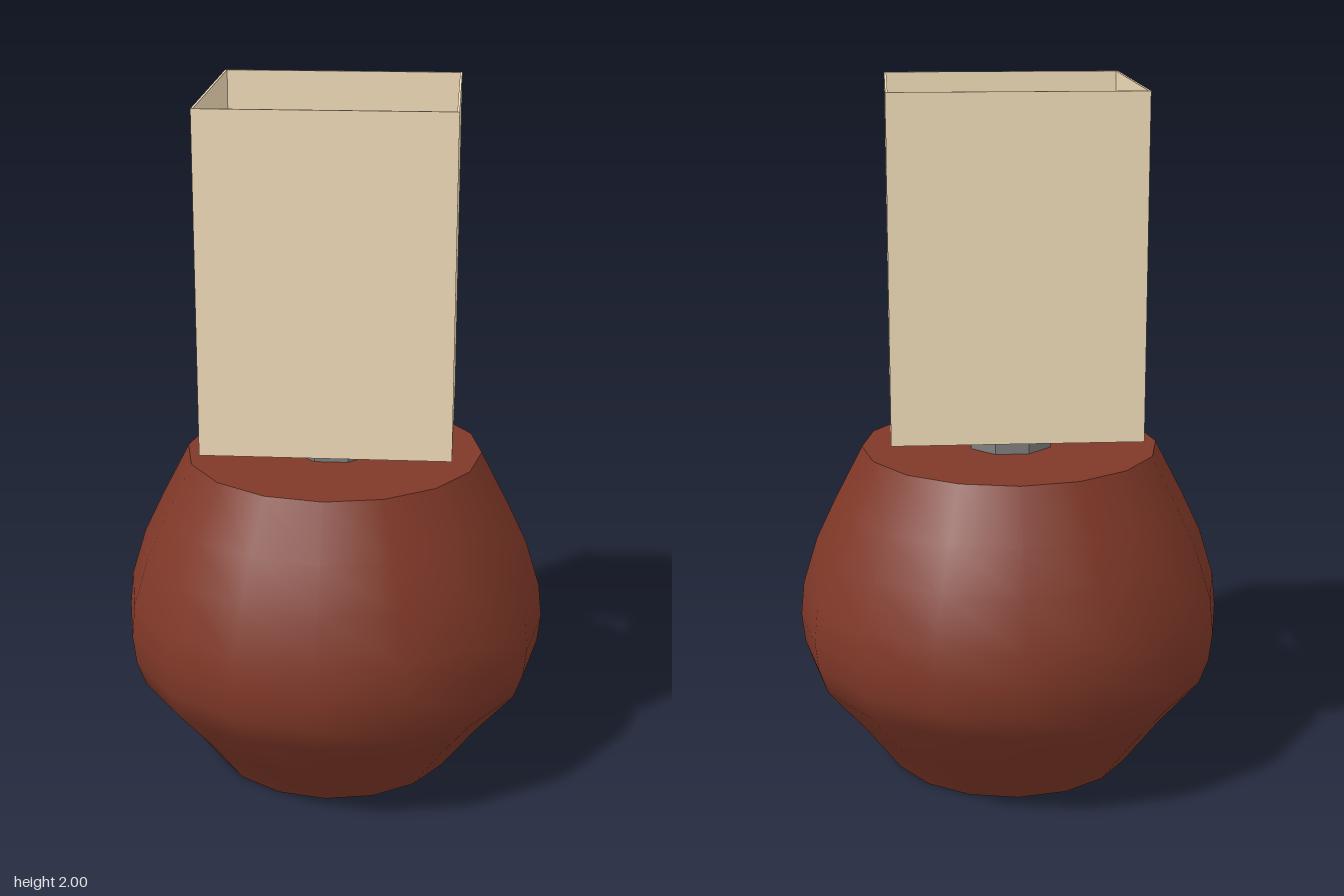
import * as THREE from 'three';

const mat = (color, extra = {}) => new THREE.MeshStandardMaterial({ color, ...extra });
const lathe = (pts, sides, start = 0) =>
  new THREE.LatheGeometry(pts.map(([r, y]) => new THREE.Vector2(r, y)), sides, start);

export function createModel() {
  const lamp = new THREE.Group();
  const clay = mat(0x803828);
  const metal = mat(0x808080, { flatShading: true });
  const fabric = mat(0xf3deba, { flatShading: true });
  const glass = mat(0xf3dca6);

  const add = (name, geometry, material, parent = lamp) => {
    const mesh = new THREE.Mesh(geometry, material);
    mesh.name = name;
    parent.add(mesh);
    return mesh;
  };

  // Pot-shaped base: smooth 16-sided wall with flat caps
  const base = new THREE.Group();
  base.name = 'base';
  lamp.add(base);
  add('baseWall', lathe([
    [0.36, 0], [0.465, 0.14], [0.583, 0.28], [0.61, 0.355], [0.62, 0.44],
    [0.61, 0.54], [0.567, 0.68], [0.51, 0.8], [0.43, 0.955],
  ], 16), clay, base);
  add('baseTop', new THREE.CircleGeometry(0.43, 16).rotateX(-Math.PI / 2), clay, base).position.y = 0.955;
  add('baseBottom', new THREE.CircleGeometry(0.36, 16).rotateX(Math.PI / 2), clay, base);

  // Octagonal socket with a sloped shoulder
  add('socket', lathe([
    [0.125, 0.95], [0.125, 1.0], [0.062, 1.027], [0.032, 1.045], [0.032, 1.06], [0, 1.06],
  ], 8, Math.PI / 8), metal);

  // Bulb: thin neck swelling into a sphere
  const bulb = [[0.03, 1.045], [0.032, 1.17], [0.042, 1.215]];
  for (let i = 0; i <= 10; i++) {
    const a = THREE.MathUtils.lerp(-0.95, Math.PI / 2, i / 10);
    bulb.push([Math.max(0, 0.115 * Math.cos(a)), 1.34 + 0.115 * Math.sin(a)]);
  }
  add('bulb', lathe(bulb, 20), glass);

  // Four tapering arms reaching the corners of the shade
  const arm = new THREE.BoxGeometry(0.48, 1, 1).translate(0.24, 0, 0);
  const p = arm.attributes.position;
  for (let i = 0; i < p.count; i++) {
    const t = p.getX(i) / 0.48;
    p.setY(i, THREE.MathUtils.lerp(1.04, 1.065, t) + p.getY(i) * THREE.MathUtils.lerp(0.036, 0.012, t));
    p.setZ(i, p.getZ(i) * THREE.MathUtils.lerp(0.064, 0.014, t));
  }
  arm.computeVertexNormals();
  for (let i = 0; i < 4; i++) add('shadeArm', arm, metal).rotation.y = i * Math.PI / 2;

  // Square open shade with thin walls, turned so its corners lie on the axes
  add('shade', lathe([
    [0.481, 1.05], [0.49, 1.05], [0.49, 2], [0.481, 2], [0.481, 1.05],
  ], 4), fabric);

  return lamp;
}
